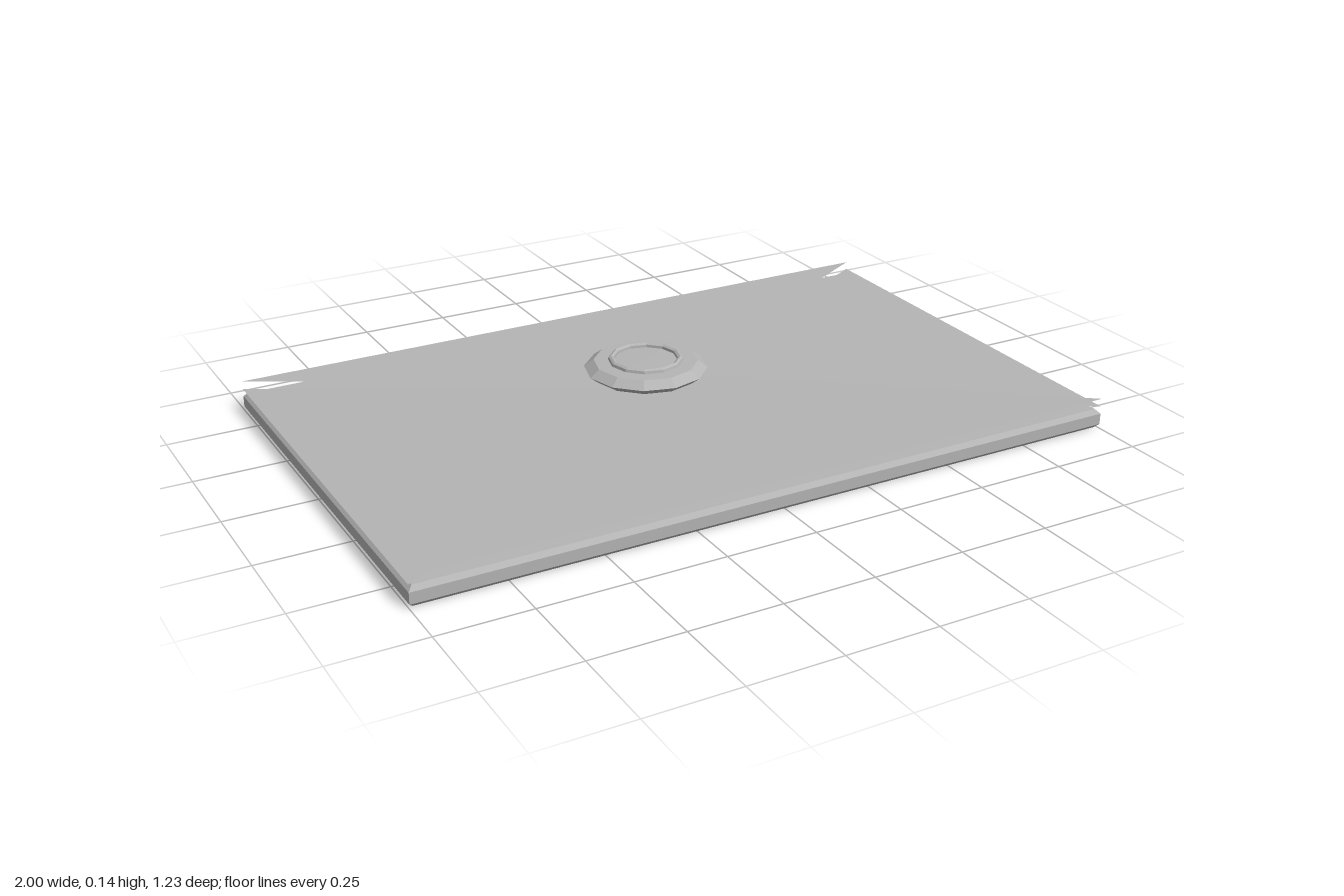
import * as THREE from 'three';

const HALF_X = 1, HALF_Z = 0.617;

export function createModel() {
  const group = new THREE.Group();
  const paper = new THREE.MeshStandardMaterial({ color: 0xb4b4b4, flatShading: true, side: THREE.DoubleSide });
  paper.name = 'grey paper';

  const add = (name, geometry) => {
    const mesh = new THREE.Mesh(geometry, paper);
    mesh.name = name;
    group.add(mesh);
    return mesh;
  };

  // Flat body with chamfered edges
  const bevel = 0.012, height = 0.055;
  const x = HALF_X - bevel, z = HALF_Z - bevel;
  const outline = new THREE.Shape([[-x, -z], [x, -z], [x, z], [-x, z]].map(p => new THREE.Vector2(...p)));
  const body = new THREE.ExtrudeGeometry(outline, {
    depth: height - 2 * bevel, bevelThickness: bevel, bevelSize: bevel, bevelSegments: 1,
  });
  body.rotateX(-Math.PI / 2).translate(0, bevel, 0);
  add('envelopeBody', body);

  // Thin triangular flaps, each hinged along one edge; corners run counter-clockwise from above
  const flap = (name, a, b, tip) => {
    const geometry = new THREE.BufferGeometry();
    geometry.setAttribute('position', new THREE.Float32BufferAttribute([...a, ...b, ...tip], 3));
    geometry.computeVertexNormals();
    add(name, geometry);
  };
  const low = 0.064, high = 0.087;
  flap('leftFlap', [HALF_X, low, HALF_Z], [HALF_X, low, -HALF_Z], [0, 0.082, -0.04]);
  flap('rightFlap', [-HALF_X, low, -HALF_Z], [-HALF_X, low, HALF_Z], [0, 0.082, -0.04]);
  flap('frontFlap', [-HALF_X, high, HALF_Z], [HALF_X, high, HALF_Z], [0, 0.083, -0.17]);
  flap('backFlap', [HALF_X, high, -HALF_Z], [-HALF_X, high, -HALF_Z], [0, 0.084, -0.06]);

  // Twelve-sided seal, with profiles turned around the vertical axis
  const turned = (name, profile, sides) => {
    const geometry = new THREE.LatheGeometry(profile.map(p => new THREE.Vector2(...p)), sides);
    add(name, geometry).position.z = -0.125;
  };
  turned('waxSeal', [[0, 0.092], [0.148, 0.092], [0.172, 0.111], [0.145, 0.131], [0, 0.133]], 12);
  turned('sealRing', [[0.105, 0.131], [0.103, 0.139], [0.096, 0.143], [0.089, 0.139], [0.088, 0.131]], 12);

  return group;
}
